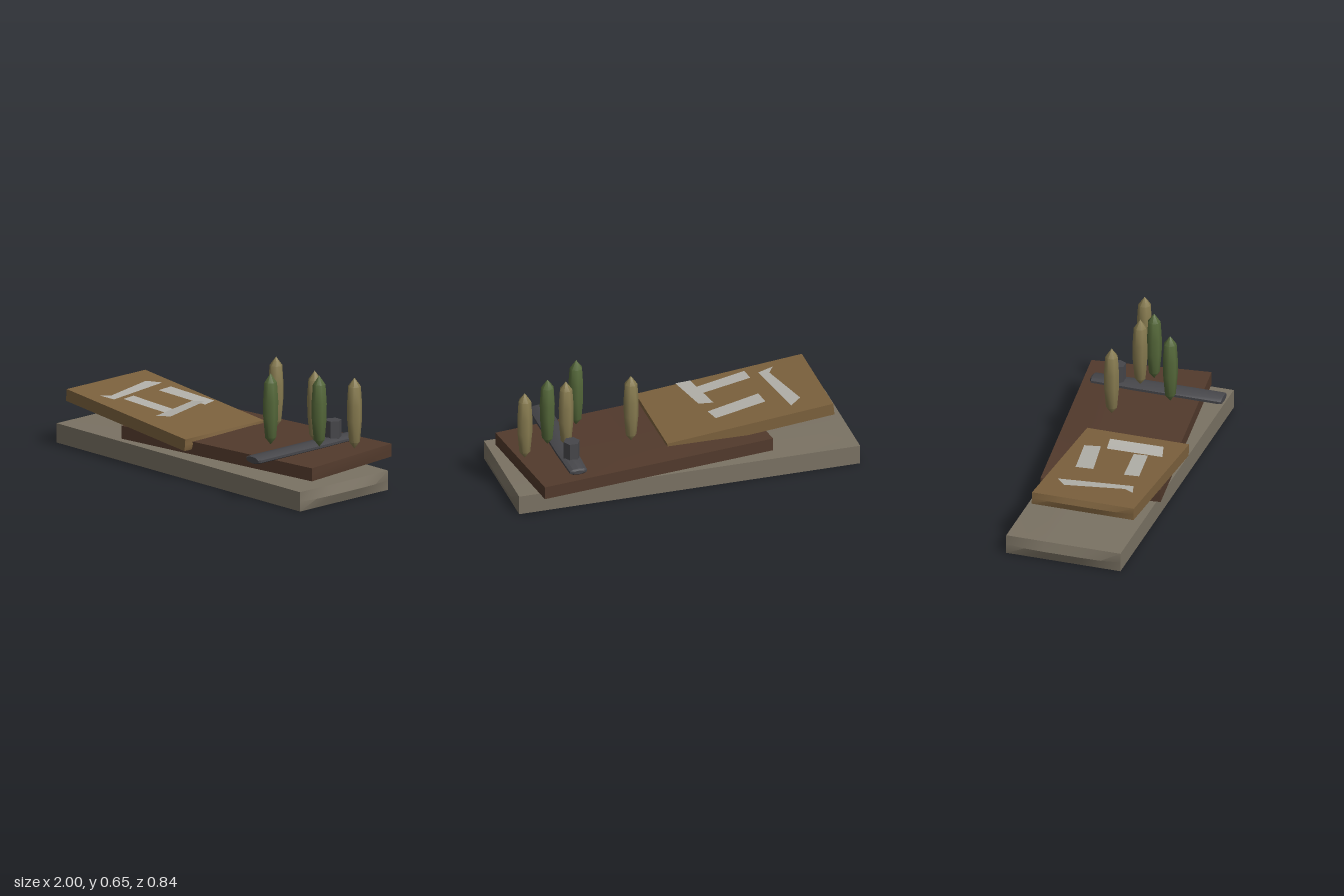
import * as THREE from 'three';
import { toCreasedNormals } from 'three/addons/utils/BufferGeometryUtils.js';

const mat = (name, color, side = THREE.FrontSide) =>
  new THREE.MeshStandardMaterial({ name, color, side });

// Box whose faces swell slightly; peak shifts the top and bottom crests along z
function slabGeometry(w, h, d, end, top, bottom, peak = 0) {
  const g = new THREE.BoxGeometry(w, h, d, 4, 2, 6);
  const p = g.attributes.position;
  for (let i = 0; i < p.count; i++) {
    const u = p.getX(i) / (w / 2), v = p.getY(i) / (h / 2), t = p.getZ(i) / (d / 2);
    const across = 1 - Math.abs(t - peak) / (1 + Math.abs(peak) * Math.sign(-peak * (t - peak) || 1));
    const crest = (1 - u * u) * Math.max(0, Math.min(1, across)) * (1 - t * t > 1e-6 ? 1 : 0);
    const dx = Math.abs(u) > 0.999 ? Math.sign(u) * end * (1 - v * v) * (1 - t ** 4) : 0;
    const dy = v > 0.999 ? top * crest : v < -0.999 ? -bottom * crest : 0;
    p.setXYZ(i, p.getX(i) + dx, p.getY(i) + dy, p.getZ(i));
  }
  return toCreasedNormals(g, 0.5);
}

// Thin upward-facing plate from corners [x, y, z] listed clockwise from above
function plateGeometry(corners) {
  const g = new THREE.BufferGeometry();
  g.setAttribute('position', new THREE.Float32BufferAttribute(corners.flat(), 3));
  const index = [];
  for (let i = 1; i < corners.length - 1; i++) index.push(0, i + 1, i);
  g.setIndex(index);
  g.computeVertexNormals();
  return g;
}

export function createModel() {
  const model = new THREE.Group();
  model.name = 'stackedSlabs';
  const stone = mat('stone', 0x7a7263);
  const brown = mat('darkBrown', 0x523a2c);
  const tan = mat('tan', 0x7c613d);
  const dark = mat('darkGrey', 0x46464a);
  const green = mat('green', 0x55683a);
  const olive = mat('olive', 0x877b50);
  const pale = mat('paleGrey', 0xb2b0a9, THREE.DoubleSide);

  const add = (name, geometry, material, x = 0, y = 0, z = 0) => {
    const mesh = new THREE.Mesh(geometry, material);
    mesh.name = name;
    mesh.position.set(x, y, z);
    model.add(mesh);
    return mesh;
  };

  // Three stacked slabs
  add('baseSlab', slabGeometry(1.96, 0.11, 0.662, 0.02, 0.013, 0, -0.45), stone, 0, 0.055, 0.037);
  add('middleSlab', slabGeometry(1.37, 0.074, 0.675, 0.004, 0.01, 0.01, -0.3), brown, 0.23, 0.181, -0.005)
    .rotation.y = 0.117;
  add('topSlab', slabGeometry(0.96, 0.068, 0.59, 0.012, 0, 0, 0), tan, -0.385, 0.254, 0.11)
    .rotation.z = -0.1;

  // Flat strips above the top slab
  const slope = (x, lift) => 0.335 - 0.1 * (x + 0.86) + lift;
  const laid = (points, lift) => points.map(([x, z]) => [x, slope(x, lift), z]);
  add('narrowStrip', plateGeometry(laid(
    [[-0.635, 0.28], [-0.71, -0.05], [-0.64, -0.11], [-0.58, 0.31], [-0.67, 0.335]], 0.008)), pale);
  add('backStrip', plateGeometry(laid(
    [[-0.51, -0.05], [-0.21, -0.1], [-0.19, -0.01], [-0.5, 0.05]], 0.036)), pale);
  add('frontStrip', plateGeometry(laid(
    [[-0.51, 0.23], [-0.22, 0.19], [-0.21, 0.27], [-0.5, 0.315]], 0.036)), pale);
  add('crossStrip', plateGeometry(
    [[-0.24, 0.325, 0.04], [-0.15, 0.338, 0.03], [-0.107, 0.316, 0.325], [-0.2, 0.305, 0.35]]), pale);

  // Flattened hull with a tapered back end, and its hexagonal tower
  const hullProfile = [[0, -0.42], [0.05, -0.42], [0.06, -0.41], [0.06, 0.1], [0.052, 0.335], [0.03, 0.345], [0, 0.345]]
    .map(([r, l]) => new THREE.Vector2(r, l));
  const hullGeometry = new THREE.LatheGeometry(hullProfile, 10);
  hullGeometry.rotateX(-Math.PI / 2).scale(1, 0.37, 1);
  add('hull', toCreasedNormals(hullGeometry, 0.7), dark, 0.652, 0.237, 0);
  const tower = new THREE.CylinderGeometry(0.046, 0.046, 0.105, 6);
  tower.rotateY(Math.PI / 6);
  add('tower', toCreasedNormals(tower, 0.5), dark, 0.647, 0.299, -0.192);

  // Tall pointed trees
  const treeProfile = [[0, 0], [0.031, 0.04], [0.042, 0.16], [0.043, 0.25], [0.036, 0.355], [0, 0.405]]
    .map(([r, h]) => new THREE.Vector2(r, h));
  const treeGeometry = toCreasedNormals(new THREE.LatheGeometry(treeProfile, 7), 0.95);
  const trees = [
    [0.28, -0.105, olive], [0.515, 0.155, green], [0.64, -0.06, olive],
    [0.73, -0.01, green], [0.895, -0.12, olive],
  ];
  trees.forEach(([x, z, material], i) => {
    add(`tree${i + 1}`, treeGeometry, material, x, 0.25, z).rotation.y = i * 1.3;
  });

  return model;
}
